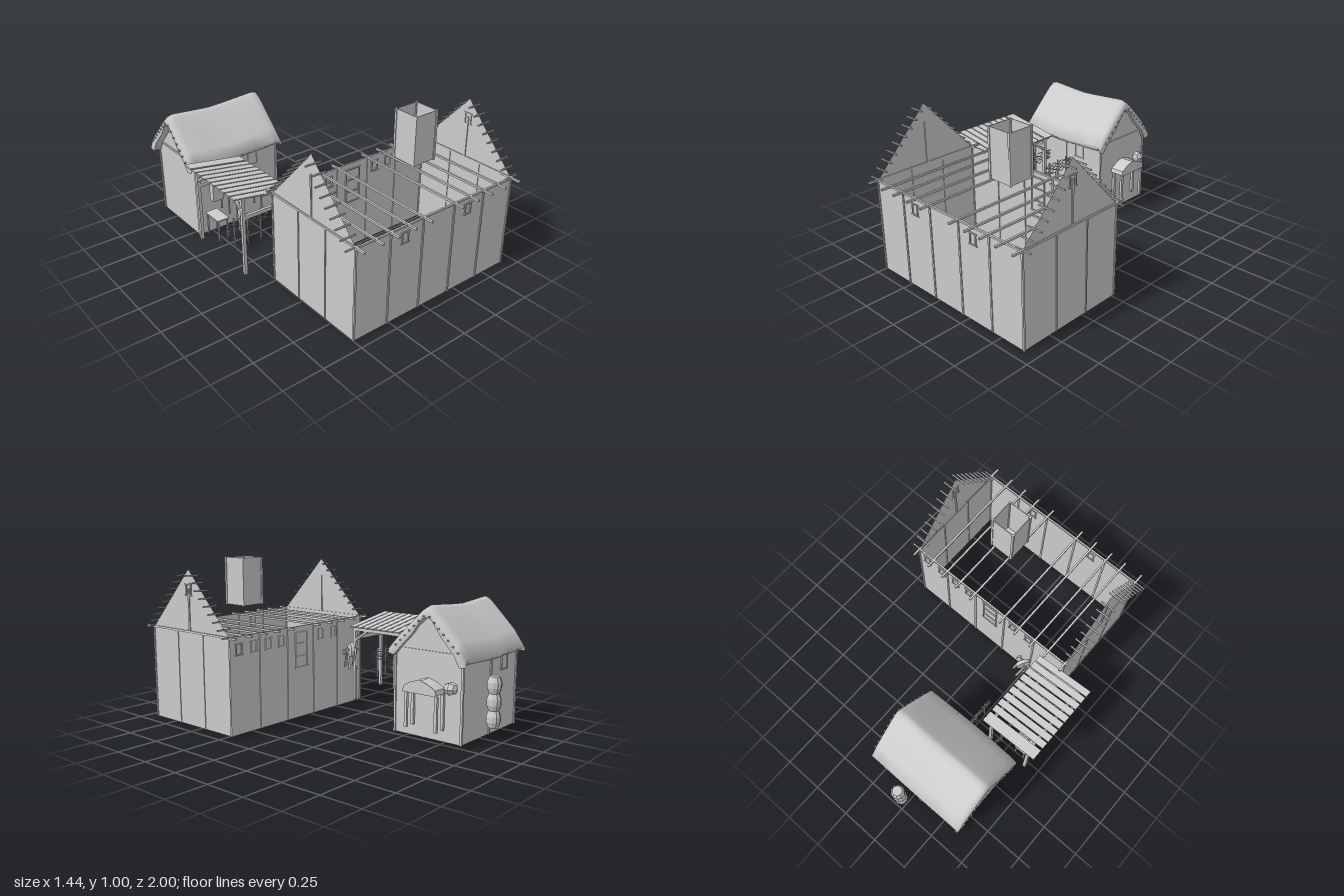
import * as THREE from 'three';

const solid = new THREE.MeshStandardMaterial({ color: 0xcccccc, flatShading: true });
const thin = new THREE.MeshStandardMaterial({ color: 0xcccccc, side: THREE.DoubleSide });

function add(parent, name, geometry, material = solid, x = 0, y = 0, z = 0) {
  const mesh = new THREE.Mesh(geometry, material);
  mesh.name = name;
  mesh.position.set(x, y, z);
  parent.add(mesh);
  return mesh;
}
const box = (parent, name, w, h, d, x, y, z) =>
  add(parent, name, new THREE.BoxGeometry(w, h, d), solid, x, y, z);

// Square timber between two points
function beam(parent, name, a, b, t = 0.012) {
  const from = new THREE.Vector3(...a), to = new THREE.Vector3(...b);
  const mesh = box(parent, name, t, t, from.distanceTo(to), 0, 0, 0);
  mesh.position.copy(from).add(to).multiplyScalar(0.5);
  mesh.lookAt(to);
  return mesh;
}

function group(parent, name) {
  const g = new THREE.Group();
  g.name = name;
  parent.add(g);
  return g;
}

// Open shell: two long walls and two pentagonal gable ends
function shell(parent, x0, x1, z0, z1, base, eave, peak) {
  for (const z of [z0, z1])
    add(parent, 'longWall', new THREE.PlaneGeometry(x1 - x0, eave - base), thin, (x0 + x1) / 2, (base + eave) / 2, z)
      .rotation.y = z === z0 ? Math.PI : 0;
  const half = (z1 - z0) / 2;
  const gable = new THREE.Shape([[-half, base], [half, base], [half, eave], [0, peak], [-half, eave]]
    .map(p => new THREE.Vector2(...p)));
  for (const x of [x0, x1])
    add(parent, 'gableWall', new THREE.ShapeGeometry(gable), thin, x, 0, (z0 + z1) / 2)
      .rotation.y = x === x0 ? -Math.PI / 2 : Math.PI / 2;
}

// Frame with projecting lintel and sill
function windowFrame(parent, x, y, z, w = 0.05, h = 0.065, turn = 0) {
  const f = group(parent, 'windowFrame');
  for (const s of [-1, 1]) {
    box(f, 'jamb', 0.007, h, 0.012, s * (w / 2 - 0.004), 0, 0);
    box(f, 'sillOrLintel', w + 0.01, 0.007, 0.012, 0, s * h / 2, 0);
  }
  f.position.set(x, y, z);
  f.rotation.y = turn;
}

function house(root) {
  const g = group(root, 'mainHouse');
  const X0 = -0.5, X1 = 0.665, Z0 = 0.235, Z1 = 0.935, H = 0.575, zc = 0.585;
  shell(g, X0, X1, Z0, Z1, 0, H, 0.95);
  // Wall posts and top plates
  for (const z of [Z0, Z1]) {
    for (let i = 0; i < 6; i++) box(g, 'wallPost', 0.011, H, 0.011, X0 + i * 0.233, H / 2, z);
    box(g, 'wallPlate', X1 - X0, 0.011, 0.011, (X0 + X1) / 2, H, z);
  }
  for (const x of [X0, X1]) {
    for (const z of [0.47, 0.7]) box(g, 'sidePost', 0.008, H, 0.008, x, H / 2, z);
    box(g, 'gableTie', 0.01, 0.01, Z1 - Z0, x, H, zc);
    box(g, 'gablePost', 0.012, 0.26, 0.012, x, H + 0.13, zc);
    // Purlin stubs up both slopes
    for (const s of [-1, 1]) for (let i = 0; i < 9; i++) {
      const off = 0.036 + i * 0.039;
      box(g, 'purlinStub', 0.1, 0.008, 0.008, x + (x < 0 ? -0.018 : 0.005), 0.952 - off * 1.07, zc + s * off);
    }
  }
  // Ceiling joists
  for (const x of [X0, -0.375, -0.27, -0.15, -0.035, 0.2, 0.32, 0.43, 0.545, X1])
    box(g, 'joist', 0.012, 0.012, 0.82, x, 0.577, 0.59);
  for (const x of [-0.165, 0.31]) windowFrame(g, x, 0.505, Z1);
  for (const x of [0.6, 0.48, 0.365, 0.255, -0.1, -0.225]) windowFrame(g, x, 0.505, Z0);
  windowFrame(g, X1, 0.825, zc, 0.05, 0.065, Math.PI / 2);
  // Back door
  windowFrame(g, 0.08, 0.43, Z0, 0.11, 0.22);
  for (const y of [0.39, 0.47]) box(g, 'doorRail', 0.1, 0.007, 0.012, 0.08, y, Z0);

  // Chimney: open box with corner posts
  const c = group(g, 'chimney');
  for (const s of [-1, 1]) {
    box(c, 'chimneySide', 0.004, 0.295, 0.16, s * 0.077, 0, 0);
    box(c, 'chimneyFace', 0.155, 0.295, 0.004, 0, 0, s * 0.078);
    for (const t of [-1, 1]) box(c, 'chimneyPost', 0.014, 0.3, 0.014, s * 0.076, 0, t * 0.077);
  }
  box(c, 'chimneyBase', 0.15, 0.004, 0.15, 0, -0.146, 0);
  c.position.set(0.228, 0.85, zc);
}

// Thick sagging roof lofted from chevron cross-sections along x
function thatch() {
  const outer = [[0.262, 0.525], [0.2, 0.59], [0.1, 0.69], [0.03, 0.757]];
  const inner = [[0.22, 0.473], [0.18, 0.523], [0.1, 0.605], [0.03, 0.7]];
  const mirror = list => [...list, [0, list === outer ? 0.775 : 0.708],
    ...list.map(([z, y]) => [-z * 0.98, y - (z > 0.2 ? 0.02 : 0)]).reverse()];
  const top = mirror(outer), under = mirror(inner).reverse(), n = top.length;
  const xs = [-0.655, -0.65, -0.635, -0.61, -0.5, -0.42, -0.36, -0.28, -0.18, -0.05, -0.025, 0, 0.012, 0.017];
  const drop = [0.06, 0.03, 0.01, 0, 0, 0, 0, 0, 0, 0, 0, 0.01, 0.03, 0.06];
  const pos = [], idx = [], ring = 2 * n;
  xs.forEach((x, i) => {
    const mid = 1 - Math.min(1, Math.abs(x + 0.34) / 0.3);
    for (const [z, y] of top) {
      const bulge = z > 0.15 ? 0.012 * mid : 0;
      pos.push(x, y - 0.75 * drop[i] - 0.022 * mid, z - 0.655 + bulge);
    }
    for (const [z, y] of under) pos.push(x, y - 0.01 * mid, z - 0.655);
  });
  for (let i = 0; i < xs.length - 1; i++) for (let j = 0; j < ring; j++) {
    const a = i * ring + j, b = i * ring + (j + 1) % ring;
    idx.push(a, a + ring, b, b, a + ring, b + ring);
  }
  const end = (xs.length - 1) * ring;
  for (let j = 0; j < n - 1; j++) {
    const a = j, b = j + 1, c = ring - 2 - j, d = ring - 1 - j;
    idx.push(a, b, c, a, c, d, end + a, end + c, end + b, end + a, end + d, end + c);
  }
  const geo = new THREE.BufferGeometry();
  geo.setAttribute('position', new THREE.Float32BufferAttribute(pos, 3));
  geo.setIndex(idx);
  geo.computeVertexNormals();
  return geo;
}

function hut(root) {
  const g = group(root, 'hut');
  const X0 = -0.605, X1 = -0.01, Z0 = -0.88, Z1 = -0.43;
  shell(g, X0, X1, Z0, Z1, 0.015, 0.5, 0.715);
  add(g, 'thatchedRoof', thatch(), thin);
  for (const z of [Z0, Z1]) for (const x of [X0, (X0 + X1) / 2, X1])
    box(g, 'hutPost', 0.014, 0.495, 0.014, x, 0.262, z);
  for (const x of [X0, X1]) box(g, 'hutTie', 0.012, 0.012, 0.45, x, 0.515, -0.655);
  // Pegs along the roof ends
  for (const x of [-0.652, 0.014]) for (const s of [-1, 1]) for (let i = 0; i < 7; i++)
    box(g, 'roofPeg', 0.022, 0.009, 0.009, x, 0.715 - i * 0.03, -0.655 + s * (0.02 + i * 0.031));
  windowFrame(g, -0.19, 0.43, Z1, 0.075, 0.085);
  windowFrame(g, -0.46, 0.42, Z0, 0.075, 0.085);

  // Low domed lean-to on the gable side
  const arch = new THREE.Shape([[-0.115, 0], [0.115, 0], [0.105, 0.035], [0.06, 0.062], [0, 0.08], [-0.06, 0.062], [-0.105, 0.035]]
    .map(p => new THREE.Vector2(...p)));
  add(g, 'leanToRoof', new THREE.ExtrudeGeometry(arch, { depth: 0.08, bevelEnabled: true, bevelSize: -0.006, bevelThickness: 0.01, bevelSegments: 1, bevelOffset: 0 }),
    solid, -0.005, 0.29, -0.66).rotation.y = Math.PI / 2;
  for (const z of [-0.565, -0.765]) for (const x of [0.005, 0.07])
    box(g, 'leanToLeg', 0.016, 0.205, 0.018, x, 0.187, z);
  add(g, 'smallBarrel', new THREE.SphereGeometry(0.04, 6, 4), solid, 0.005, 0.33, -0.815).rotation.x = Math.PI / 2;

  // Column of stacked barrels behind
  const stave = [[0, 0], [0.03, 0], [0.042, 0.033], [0.042, 0.065], [0.03, 0.098], [0, 0.098]].map(p => new THREE.Vector2(...p));
  for (let i = 0; i < 3; i++)
    add(g, 'barrel', new THREE.LatheGeometry(stave, 10), solid, -0.22, 0.09 + i * 0.098, -0.957);
}

// Woven fence panel between two ground points, as rods wobbling past stakes
function wattle(parent, x0, z0, x1, z1) {
  const g = group(parent, 'wattlePanel');
  const len = Math.hypot(x1 - x0, z1 - z0);
  for (let r = 0; r < 6; r++) {
    const pts = [];
    for (let i = 0; i <= 8; i++)
      pts.push(new THREE.Vector3(len * i / 8, 0.305 + r * 0.012 + 0.006 * Math.sin(i * 2.1 + r * 1.7), 0.008 * (((i + r) % 2) * 2 - 1)));
    add(g, 'wovenRod', new THREE.TubeGeometry(new THREE.CatmullRomCurve3(pts), 16, 0.003, 4));
  }
  for (const t of [0.18, 0.5, 0.82]) box(g, 'stake', 0.008, 0.2, 0.008, len * t, 0.285, 0);
  g.position.set(x0, 0, z0);
  g.rotation.y = Math.atan2(z0 - z1, x1 - x0);
}

function shelter(root) {
  const g = group(root, 'shelter');
  // Sloping roof slats
  for (let i = 0; i < 10; i++) {
    const first = i === 0;
    box(g, 'roofSlat', 0.383, 0.008, first ? 0.07 : 0.043, -0.535, 0.557, first ? -0.3 : -0.23 + (i - 1) * 0.0505)
      .rotation.z = -0.16;
  }
  for (const [x, base, top] of [[-0.665, 0.08, 0.572], [-0.385, 0.03, 0.52]]) {
    box(g, 'sideBeam', 0.02, 0.02, 0.52, x, top - 0.012, -0.07);
    for (const [z, s] of [[0.183, -1], [-0.295, 1]]) {
      box(g, 'shelterPost', 0.02, top - base, 0.02, x, (top + base) / 2, z);
      beam(g, 'brace', [x, top - 0.09, z], [x, top - 0.02, z + s * 0.1], 0.014);
    }
  }
  for (const z of [0.183, -0.295]) box(g, 'crossBeam', 0.29, 0.024, 0.018, -0.525, 0.45, z);
  box(g, 'hangingBoard', 0.07, 0.15, 0.04, -0.585, 0.435, -0.225);
  // Bench
  box(g, 'benchTop', 0.08, 0.008, 0.14, -0.6, 0.26, -0.21);
  for (const x of [-0.63, -0.57]) for (const z of [-0.15, -0.27]) box(g, 'benchLeg', 0.009, 0.14, 0.009, x, 0.19, z);
  wattle(g, -0.7, 0.06, -0.42, 0.06);
  wattle(g, -0.465, -0.15, -0.465, -0.43);
  wattle(g, -0.27, -0.18, -0.27, -0.43);

  // Grindstone on a trestle
  const stone = group(g, 'grindstone');
  add(stone, 'wheel', new THREE.CylinderGeometry(0.046, 0.046, 0.022, 12)).rotation.x = Math.PI / 2;
  add(stone, 'axle', new THREE.CylinderGeometry(0.005, 0.005, 0.11, 6)).rotation.x = Math.PI / 2;
  for (const z of [-0.026, 0.026]) {
    for (const s of [-1, 1]) beam(stone, 'trestleLeg', [s * 0.05, -0.12, z], [0, 0.01, z], 0.011);
    beam(stone, 'trestleRail', [-0.03, -0.075, z], [0.03, -0.075, z], 0.009);
  }
  beam(stone, 'crank', [0, 0, 0.055], [0.025, -0.025, 0.055], 0.008);
  stone.position.set(-0.28, 0.39, 0.13);
  stone.rotation.y = 1.0;
}

export function createModel() {
  const root = new THREE.Group();
  root.name = 'farmstead';
  house(root);
  hut(root);
  shelter(root);
  return root;
}
